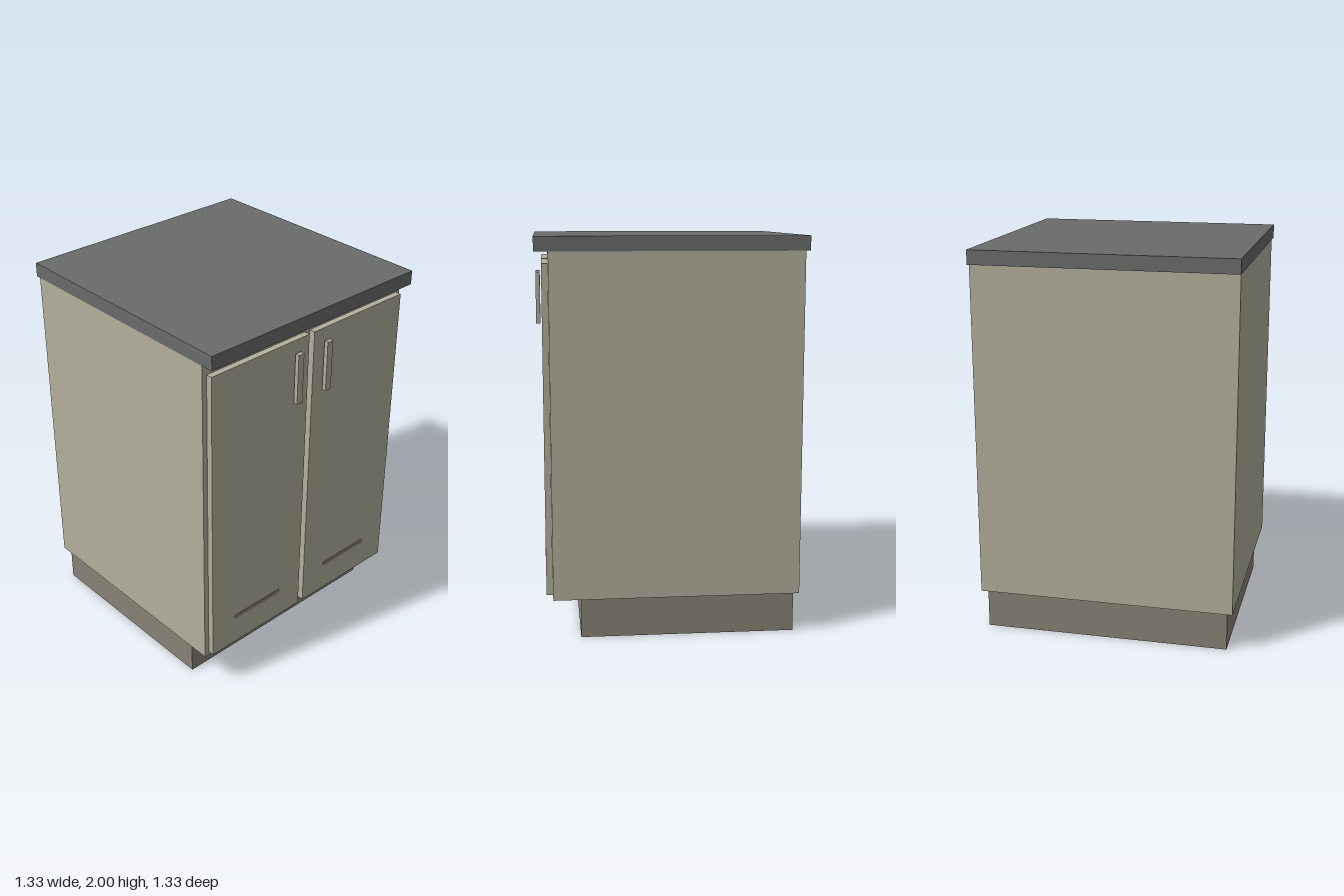
import * as THREE from 'three';

const paint = (name, color, side = THREE.FrontSide) => {
  const m = new THREE.MeshStandardMaterial({ color, side });
  m.name = name;
  return m;
};

export function createModel() {
  const cabinet = new THREE.Group();
  cabinet.name = 'baseCabinet';

  const beige = paint('beige', 0xb3b09d, THREE.DoubleSide);
  const taupe = paint('taupe', 0x888376, THREE.DoubleSide);
  const grey = paint('darkGrey', 0x6a6c6c);

  // Solid box given by its lower and upper corners
  const box = (name, material, [x0, y0, z0], [x1, y1, z1], parent = cabinet) => {
    const mesh = new THREE.Mesh(new THREE.BoxGeometry(x1 - x0, y1 - y0, z1 - z0), material);
    mesh.position.set((x0 + x1) / 2, (y0 + y1) / 2, (z0 + z1) / 2);
    mesh.name = name;
    parent.add(mesh);
  };

  // Four thin walls, open above and below
  const walls = (name, material, halfX, y0, y1, z0, z1) => {
    const group = new THREE.Group();
    group.name = name;
    const height = y1 - y0, depth = z1 - z0, cy = (y0 + y1) / 2, cz = (z0 + z1) / 2;
    const sides = [
      ['Front', 2 * halfX, 0, z1, 0],
      ['Left', depth, halfX, cz, Math.PI / 2],
      ['Back', 2 * halfX, 0, z0, Math.PI],
      ['Right', depth, -halfX, cz, -Math.PI / 2],
    ];
    for (const [label, width, x, z, turn] of sides) {
      const wall = new THREE.Mesh(new THREE.PlaneGeometry(width, height), material);
      wall.position.set(x, cy, z);
      wall.rotation.y = turn;
      wall.name = name + label;
      group.add(wall);
    }
    cabinet.add(group);
  };

  // Plinth, carcass and worktop
  walls('plinth', taupe, 0.635, 0, 0.205, -0.62, 0.46);
  walls('carcass', beige, 0.664, 0.205, 1.93, -0.645, 0.598);
  box('worktop', grey, [-0.667, 1.927, -0.667], [0.667, 2, 0.667]);

  // Rounded slot, drawn as a thin plate on the door
  const slot = new THREE.Shape();
  slot.absarc(0.15, 0, 0.012, -Math.PI / 2, Math.PI / 2);
  slot.absarc(-0.15, 0, 0.012, Math.PI / 2, Math.PI * 1.5);
  const slotGeometry = new THREE.ExtrudeGeometry(slot, { depth: 0.003, bevelEnabled: false, curveSegments: 6 });

  // Mirrored doors with handles
  for (const [side, s] of [['left', 1], ['right', -1]]) {
    const door = new THREE.Group();
    door.name = side + 'Door';
    const span = (a, b) => (s > 0 ? [a, b] : [-b, -a]);
    const [d0, d1] = span(0.017, 0.638);
    box(side + 'DoorPanel', beige, [d0, 0.227, 0.599], [d1, 1.87, 0.631], door);
    const [h0, h1] = span(0.08, 0.117);
    box(side + 'Handle', beige, [h0, 1.535, 0.64], [h1, 1.803, 0.662], door);
    const plate = new THREE.Mesh(slotGeometry, taupe);
    plate.position.set(s * 0.327, 0.393, 0.63);
    plate.name = side + 'Slot';
    door.add(plate);
    cabinet.add(door);
  }

  return cabinet;
}
